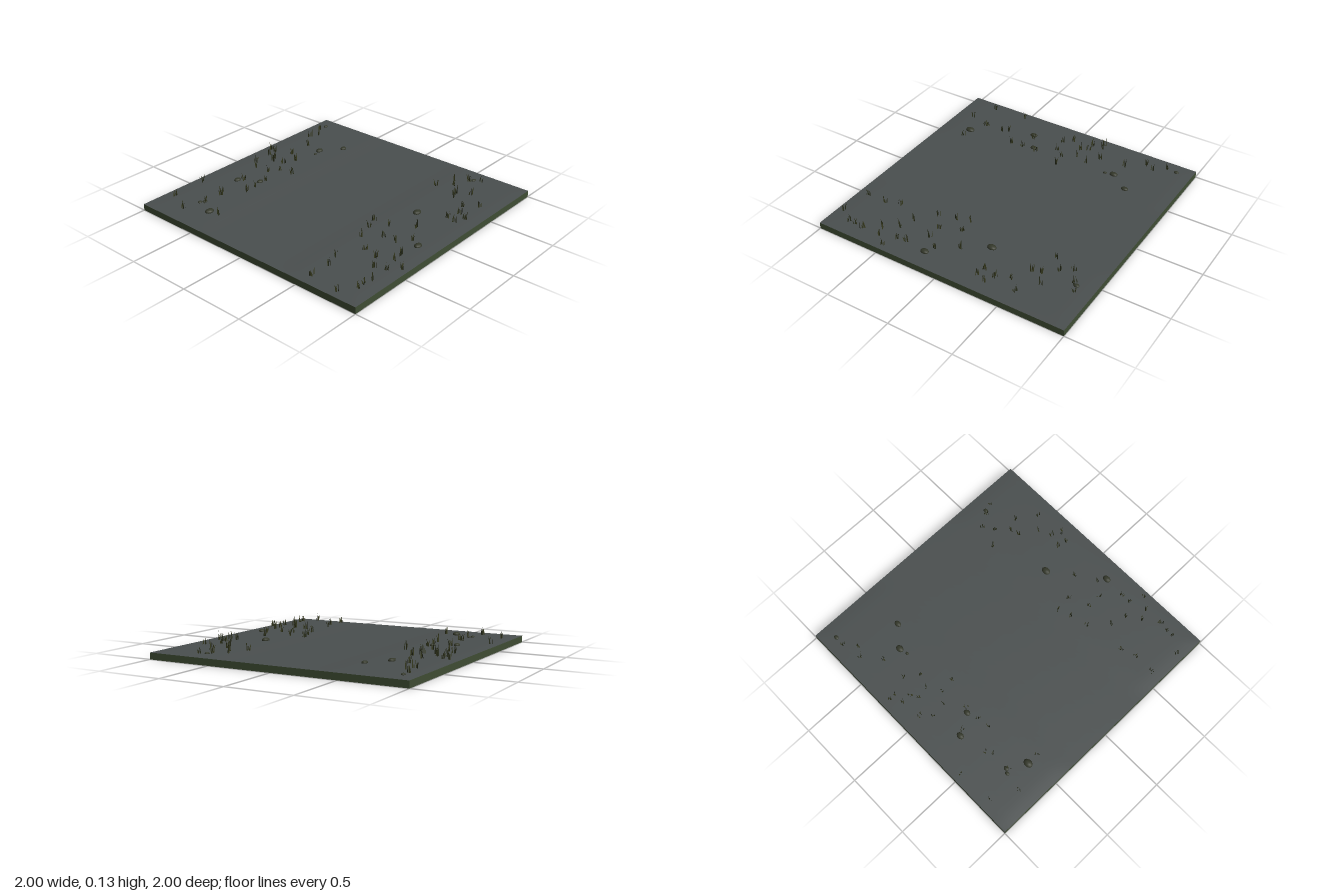
import * as THREE from 'three';
import { mergeGeometries } from 'three/addons/utils/BufferGeometryUtils.js';

const mat = (name, color, side = THREE.FrontSide) =>
  new THREE.MeshStandardMaterial({ name, color, side });

// Tuft positions as x, z pairs on the two verges
const FRONT_TUFTS = [
  -0.94, 0.80, -0.83, 0.88, -0.77, 0.88, -0.70, 0.89, -0.91, 0.56, -0.75, 0.58, -0.58, 0.81,
  -0.55, 0.89, -0.47, 0.95, -0.64, 0.53, -0.48, 0.74, -0.45, 0.63, -0.42, 0.85, -0.35, 0.84,
  -0.24, 0.71, -0.24, 0.61, -0.33, 0.49, -0.20, 0.45, -0.09, 0.54, -0.10, 0.42, -0.15, 0.80,
  0.01, 0.71, 0.27, 0.79, 0.25, 0.86, 0.33, 0.89, 0.37, 0.82, 0.46, 0.78, 0.55, 0.87,
  0.54, 0.64, 0.60, 0.62, 0.62, 0.43, 0.70, 0.54, 0.78, 0.49, 0.84, 0.59, 0.88, 0.66, 0.66, 0.72,
];
const BACK_TUFTS = [
  -0.77, -0.93, -0.70, -0.67, -0.54, -0.67, -0.50, -0.71, -0.49, -0.94, -0.38, -0.57,
  -0.29, -0.58, -0.27, -0.72, -0.17, -0.58, -0.04, -0.67, 0.05, -0.51, 0.04, -0.62,
  -0.05, -0.79, 0.01, -0.86, 0.14, -0.69, 0.11, -0.78, 0.17, -0.81, 0.24, -0.65,
  0.17, -0.88, 0.31, -0.75, 0.25, -0.88, 0.25, -0.94, 0.51, -0.76, 0.64, -0.87,
  0.71, -0.84, 0.80, -0.90, -0.77, -0.46, -0.86, -0.73,
];
// Stones: x, z, radius
const STONES = [
  [-0.77, -0.55, 0.037], [-0.72, -0.705, 0.018], [-0.69, -0.685, 0.02], [-0.295, -0.755, 0.03],
  [-0.205, -0.605, 0.027], [0.425, -0.61, 0.015], [0.49, -0.625, 0.032], [0.645, -0.505, 0.028],
  [0.88, -0.9, 0.02], [0.185, 0.58, 0.036], [0.865, 0.605, 0.021], [-0.18, 0.86, 0.033],
];

// Height of the ground: flat track in the middle, faintly raised verges
function groundY(x, z) {
  const verge = THREE.MathUtils.smoothstep(Math.abs(z), 0.3, 0.48);
  const edge = 1 - THREE.MathUtils.smoothstep(Math.max(Math.abs(x), Math.abs(z)), 0.92, 1);
  return 0.049 + 0.005 * verge * edge;
}

// One blade: a bent taper lying in a vertical plane
function blade(height, width, lean) {
  const s = new THREE.Shape();
  s.moveTo(-width / 2, -0.003);
  s.lineTo(width / 2, -0.003);
  s.lineTo(lean * 0.35 + width * 0.4, height * 0.55);
  s.lineTo(lean, height);
  s.lineTo(lean * 0.35 - width * 0.4, height * 0.55);
  return new THREE.ShapeGeometry(s);
}

export function createModel() {
  const group = new THREE.Group();
  const asphalt = mat('grey ground', 0x4a4f4f);
  const earth = mat('mossy green edge', 0x3f4d34);
  const grassMats = [
    mat('olive grass', 0x36391d, THREE.DoubleSide),
    mat('dark green grass', 0x292e1c, THREE.DoubleSide),
  ];
  const stoneMat = mat('mossy stone', 0x34382a);

  let seed = 17;
  const rnd = () => (seed = (seed * 16807) % 2147483647) / 2147483647;

  // Ground slab with gently shaped top
  const slab = new THREE.BoxGeometry(2, 0.05, 2, 40, 1, 40);
  const p = slab.attributes.position;
  for (let i = 0; i < p.count; i++) {
    p.setY(i, p.getY(i) > 0 ? groundY(p.getX(i), p.getZ(i)) : 0);
  }
  slab.computeVertexNormals();
  const ground = new THREE.Mesh(slab, [earth, earth, asphalt, asphalt, earth, earth]);
  ground.name = 'groundSlab';
  group.add(ground);

  // Grass tufts on each verge
  for (const [name, spots] of [['frontGrass', FRONT_TUFTS], ['backGrass', BACK_TUFTS]]) {
    const sets = [[], []];
    for (let i = 0; i < spots.length; i += 2) {
      const x = spots[i], z = spots[i + 1];
      const turn = rnd() * Math.PI, size = 0.8 + rnd() * 0.3;
      for (let k = 0; k < 5; k++) {
        const g = blade(size * (0.035 + rnd() * 0.038), 0.009, (rnd() - 0.5) * 0.032);
        g.rotateY(turn + k * 1.26);
        g.translate(x + (rnd() - 0.5) * 0.028, groundY(x, z), z + (rnd() - 0.5) * 0.028);
        sets[k % 2].push(g);
      }
    }
    sets.forEach((s, i) => {
      const mesh = new THREE.Mesh(mergeGeometries(s), grassMats[i]);
      mesh.name = name + (i ? 'Dark' : 'Light');
      group.add(mesh);
    });
  }

  // Low rounded stones
  const stoneGeo = new THREE.SphereGeometry(1, 10, 6);
  for (const [x, z, r] of STONES) {
    const stone = new THREE.Mesh(stoneGeo, stoneMat);
    stone.name = 'stone';
    stone.scale.set(r, r * 0.5, r * 0.75);
    stone.position.set(x, groundY(x, z) + r * 0.1, z);
    group.add(stone);
  }
  return group;
}
